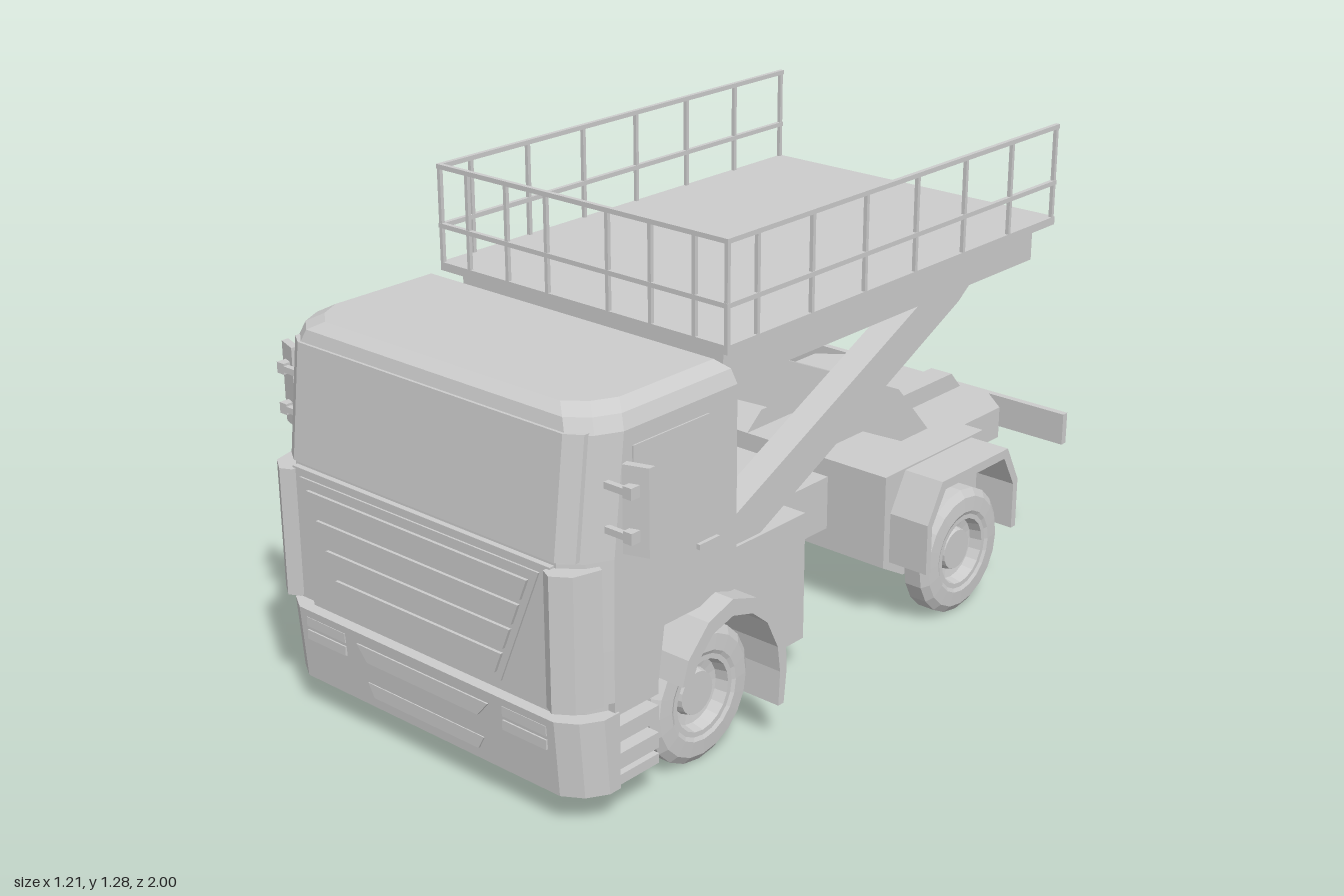
import * as THREE from 'three';

const mat = new THREE.MeshStandardMaterial({ color: 0xcccccc, flatShading: true, side: THREE.DoubleSide });
const SIDES = [-1, 1];

export function createModel() {
  const root = new THREE.Group();

  const add = (name, geo) => {
    const m = new THREE.Mesh(geo, mat);
    m.name = name;
    root.add(m);
    return m;
  };
  const toShape = pts => new THREE.Shape(pts.map(p => new THREE.Vector2(p[0], p[1])));
  const extrude = (pts, depth) =>
    new THREE.ExtrudeGeometry(toShape(pts), { depth, bevelEnabled: false, steps: 1 });
  // box given by its limits
  const box = (name, x0, x1, y0, y1, z0, z1) =>
    add(name, new THREE.BoxGeometry(Math.abs(x1 - x0), y1 - y0, Math.abs(z1 - z0))
      .translate((x0 + x1) / 2, (y0 + y1) / 2, (z0 + z1) / 2));
  // side profile [z, y] extruded across the model
  const profileX = (name, pts, xa, xb) =>
    add(name, extrude(pts, Math.abs(xb - xa)).rotateY(-Math.PI / 2).translate(Math.max(xa, xb), 0, 0));
  // front outline [x, y] extruded forward
  const plateZ = (name, pts, z0, z1) => add(name, extrude(pts, z1 - z0).translate(0, 0, z0));
  // plan outline [x, z] extruded upward
  const planY = (name, pts, y0, y1) =>
    add(name, extrude(pts.map(p => [p[0], -p[1]]), y1 - y0).rotateX(-Math.PI / 2).translate(0, y0, 0));

  // stacked sections {y, w, zb, zf}; corner = [inset x, inset z] points of the front corner
  const loft = (name, sections, corner) => {
    const loops = sections.map(({ y, w, zb, zf }) => {
      const half = [[w, zb], ...corner.map(([dx, dz]) => [w - dx, zf - dz])];
      return [...half, ...half.map(([x, z]) => [-x, z]).reverse()].map(([x, z]) => [x, y, z]);
    });
    const v = [], tri = (...p) => p.forEach(q => v.push(...q));
    const n = loops[0].length, top = loops[loops.length - 1], bottom = loops[0];
    for (let k = 0; k + 1 < loops.length; k++) {
      const a = loops[k], b = loops[k + 1];
      for (let i = 0; i < n; i++) {
        const j = (i + 1) % n;
        tri(a[j], a[i], b[i]);
        tri(a[j], b[i], b[j]);
      }
    }
    for (let i = 1; i + 1 < n; i++) {
      tri(top[0], top[i + 1], top[i]);
      tri(bottom[0], bottom[i], bottom[i + 1]);
    }
    const g = new THREE.BufferGeometry();
    g.setAttribute('position', new THREE.Float32BufferAttribute(v, 3));
    g.computeVertexNormals();
    return add(name, g);
  };

  // cab shell, lower front and bumper
  const corner = [[0, 0.1], [0.03, 0.04], [0.08, 0]];
  loft('cab', [
    { y: 0.44, w: 0.515, zb: 0.45, zf: 0.965 },
    { y: 0.66, w: 0.515, zb: 0.45, zf: 0.96 },
    { y: 0.95, w: 0.515, zb: 0.45, zf: 0.925 },
    { y: 0.985, w: 0.5, zb: 0.455, zf: 0.915 },
    { y: 1.005, w: 0.465, zb: 0.475, zf: 0.885 },
  ], corner);
  loft('cabLowerFront', [
    { y: 0.27, w: 0.495, zb: 0.72, zf: 0.95 },
    { y: 0.31, w: 0.495, zb: 0.72, zf: 0.95 },
    { y: 0.31, w: 0.515, zb: 0.72, zf: 0.965 },
    { y: 0.44, w: 0.515, zb: 0.7, zf: 0.965 },
  ], corner);
  loft('bumper', [
    { y: 0.085, w: 0.515, zb: 0.85, zf: 0.965 },
    { y: 0.28, w: 0.515, zb: 0.85, zf: 0.98 },
  ], [[0, 0.08], [0.03, 0.03], [0.08, 0]]);
  loft('windshield', [
    { y: 0.665, w: 0.475, zb: 0.8, zf: 0.966 },
    { y: 0.955, w: 0.475, zb: 0.8, zf: 0.931 },
  ], [[0, 0.026], [0.04, 0]]);

  // front panel with a tapered grille
  box('frontPanel', -0.43, 0.43, 0.31, 0.655, 0.93, 0.975);
  const trapezoid = (wTop, yTop, wBot, yBot) => [[-wBot, yBot], [wBot, yBot], [wTop, yTop], [-wTop, yTop]];
  plateZ('grille', trapezoid(0.4, 0.635, 0.27, 0.325), 0.97, 0.98);
  const slatWidth = y => 0.215 + (y - 0.325) * 0.42 + 0.035;
  for (const y of [0.345, 0.415, 0.485, 0.555])
    plateZ('grilleSlat', trapezoid(slatWidth(y + 0.055), y + 0.055, slatWidth(y), y), 0.975, 0.988);
  plateZ('upperIntake', trapezoid(0.225, 0.25, 0.19, 0.21), 0.97, 0.982);
  plateZ('lowerIntake', trapezoid(0.2, 0.15, 0.18, 0.115), 0.96, 0.973);

  for (const s of SIDES) {
    planY('cornerPillar', [[0.42, 0.93], [0.42, 0.985], [0.45, 1], [0.495, 0.97], [0.515, 0.9], [0.48, 0.88]]
      .map(([x, z]) => [s * x, z]), 0.315, 0.65);
    for (const y of [0.2, 0.235]) box('headlight', s * 0.27, s * 0.41, y, y + 0.025, 0.96, 0.98);

    // side window, handle and entry steps
    profileX('sideWindow', [[0.8, 0.7], [0.8, 0.91], [0.55, 0.91], [0.55, 0.78], [0.59, 0.745]], s * 0.5, s * 0.519);
    box('doorHandle', s * 0.51, s * 0.525, 0.59, 0.603, 0.52, 0.59);
    box('stepWell', s * 0.3, s * 0.47, 0.09, 0.3, 0.72, 0.87);
    for (const y of [0.09, 0.13, 0.2, 0.27])
      box('entryStep', s * 0.4, s * 0.51, y, y + (y < 0.1 ? 0.025 : 0.04), 0.715, 0.86);

    // mirror on two brackets
    planY('mirror', [[0.54, 0.845], [0.545, 0.865], [0.605, 0.845], [0.605, 0.825]]
      .map(([x, z]) => [s * x, z]), 0.685, 0.895);
    for (const y of [0.735, 0.84]) {
      box('mirrorBracket', s * 0.505, s * 0.575, y - 0.008, y + 0.008, 0.865, 0.88);
      box('mirrorClamp', s * 0.56, s * 0.585, y - 0.014, y + 0.014, 0.845, 0.88);
    }
  }

  // chassis: front body, centre beam, rear axle housing, bed and tail bar
  box('frontBody', -0.37, 0.37, 0.09, 0.44, 0.01, 0.86);
  box('chassisBeam', -0.2, 0.2, 0.24, 0.39, -0.32, 0.02);
  profileX('rearAxleHousing', [[-0.3, 0.44], [-0.3, 0.18], [-0.39, 0.13], [-0.66, 0.13], [-0.74, 0.18], [-0.74, 0.44]],
    -0.39, 0.39);
  planY('rearBed', [[-0.33, -0.7], [0.33, -0.7], [0.33, -0.91], [0.24, -0.985], [-0.24, -0.985], [-0.33, -0.91]],
    0.35, 0.44);
  for (const s of SIDES)
    profileX('bedRib', [[-0.3, 0.43], [-0.3, 0.44], [-0.36, 0.49], [-0.93, 0.49], [-0.975, 0.44], [-0.975, 0.43]],
      s * 0.08, s * 0.15);
  box('tailBar', -0.495, 0.495, 0.35, 0.44, -1, -0.98);

  // wheels: tyre with a dished rim, turned about the x axis
  const tyre = [[0.1, 0], [0.155, 0], [0.175, 0.015], [0.175, 0.065], [0.155, 0.08], [0.115, 0.083], [0.105, 0.078],
    [0.092, 0.078], [0.085, 0.045], [0.06, 0.04], [0.055, 0.06], [0, 0.06]];
  for (const s of SIDES) for (const z of [0.525, -0.535]) {
    const wheel = add('wheel', new THREE.LatheGeometry(tyre.map(p => new THREE.Vector2(...p)), 20)
      .rotateZ(-s * Math.PI / 2));
    wheel.position.set(s * 0.4, 0.175, z);
    const axle = add('axle', new THREE.CylinderGeometry(0.1, 0.1, 0.09, 16).rotateZ(Math.PI / 2));
    axle.position.set(s * 0.37, 0.175, z);
  }

  // mudguards: arches around the wheels
  const frontArch = [[0.7, 0.3], [0.68, 0.36], [0.61, 0.43], [0.525, 0.458], [0.44, 0.43], [0.37, 0.37],
    [0.33, 0.28], [0.325, 0.2], [0.335, 0.11], [0.355, 0.11], [0.35, 0.2], [0.36, 0.27], [0.4, 0.35],
    [0.455, 0.395], [0.525, 0.415], [0.595, 0.395], [0.645, 0.345], [0.67, 0.295]];
  const rearArch = [[-0.325, 0.19], [-0.325, 0.33], [-0.385, 0.435], [-0.685, 0.435], [-0.74, 0.33], [-0.74, 0.19],
    [-0.72, 0.19], [-0.72, 0.32], [-0.67, 0.41], [-0.4, 0.41], [-0.345, 0.32], [-0.345, 0.19]];
  for (const s of SIDES) {
    profileX('frontMudguard', frontArch, s * 0.36, s * 0.57);
    profileX('rearMudguard', rearArch, s * 0.37, s * 0.51);
  }

  // crossed lift arms
  const rearArm = [[0.4, 0.43], [0.29, 0.51], [-0.555, 0.91], [-0.75, 0.91], [-0.64, 0.83], [0.195, 0.43]];
  const frontArm = [[0.4, 0.91], [0.185, 0.91], [-0.51, 0.595], [-0.65, 0.44], [-0.55, 0.43], [0.3, 0.83]];
  for (const s of SIDES) {
    profileX('liftArmOuter', rearArm, s * 0.28, s * 0.36);
    profileX('liftArmInner', frontArm, s * 0.19, s * 0.27);
  }

  // platform
  box('platformFrame', -0.43, 0.43, 0.905, 1.005, -0.87, 0.4);
  box('platformDeck', -0.472, 0.472, 1.003, 1.025, -0.91, 0.435);

  // railing on the front and both sides
  const X = 0.467, Z = 0.43, t = 0.006;
  for (const y of [1.12, 1.272]) {
    box('frontRail', -X - t, X + t, y - t, y + t, Z - t, Z + t);
    for (const s of SIDES) box('sideRail', s * X - t, s * X + t, y - t, y + t, -0.908, Z + t);
  }
  const post = (x, z) => box('railPost', x - 0.005, x + 0.005, 1.02, 1.272, z - 0.005, z + 0.005);
  for (const s of SIDES) {
    for (const x of [0.1, 0.235, 0.37]) post(s * x, Z);
    for (const z of [Z, 0.325, 0.125, -0.08, -0.285, -0.49, -0.695, -0.9]) post(s * X, z);
  }

  return root;
}
